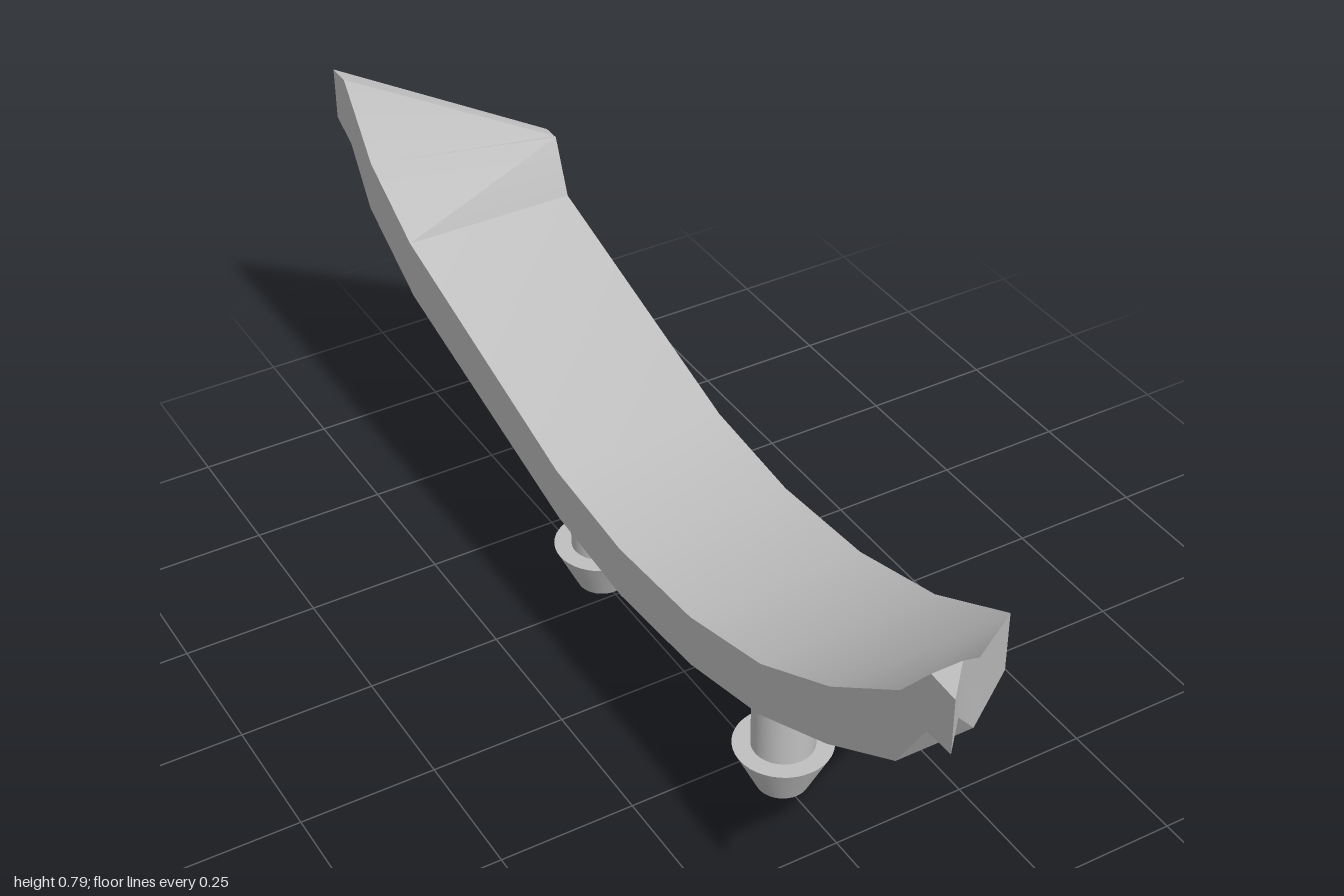
import * as THREE from 'three';
import { toCreasedNormals } from 'three/addons/utils/BufferGeometryUtils.js';

const grey = new THREE.MeshStandardMaterial({ color: 0xc0c0c0 });
grey.name = 'grey';

// One cross-section: right edge and left edge, each as [x, z, bottom y, top y, bottom z]
function section(r, l) {
  const low = (p) => [p[0], p[2], p[4] ?? p[1]];
  const high = (p) => [p[0], p[3], p[1]];
  return [low(r), low(l), high(l), high(r)];
}

// Curved strip, from its pointed front tip to its upturned back rim
function bandGeometry() {
  const X = 0.167, R = -0.16;
  const rings = [
    section([-0.17, 1, 0.69, 0.79], [-0.17, 1, 0.69, 0.79]),
    section([-0.168, 0.94, 0.685, 0.79], [-0.115, 0.94, 0.685, 0.79]),
    section([-0.166, 0.87, 0.57, 0.705], [-0.03, 0.87, 0.57, 0.705]),
    // full-width middle
    ...[[0.69, 0.455, 0.57], [0.5, 0.365, 0.47], [0.29, 0.31, 0.41], [0.06, 0.29, 0.39],
      [-0.16, 0.31, 0.41], [-0.71, 0.455, 0.57]].map((s) => section([R, ...s], [X, ...s])),
    // slanted back lip
    section([R, -0.86, 0.555, 0.66, -0.88], [X, -0.75, 0.56, 0.675]),
    section([R, -0.955, 0.66, 0.79, -0.945], [X, -0.755, 0.56, 0.675]),
    section([R, -1, 0.69, 0.79], [X, -0.785, 0.56, 0.675]),
  ];

  const pos = [];
  const tri = (...pts) => {
    const [a, b, c] = pts.map((p) => new THREE.Vector3(...p));
    if (b.sub(a).cross(c.sub(a)).length() > 1e-7) pos.push(...pts.flat());
  };
  const quad = (a, b, c, d) => { tri(a, b, c); tri(a, c, d); };

  for (let i = 0; i < rings.length - 1; i++) {
    const p = rings[i], q = rings[i + 1];
    for (let k = 0; k < 4; k++) {
      const n = (k + 1) % 4;
      // the underside folds along the same diagonal as the top
      if (k === 0) quad(p[k], q[k], q[n], p[n]);
      else quad(p[n], p[k], q[k], q[n]);
    }
  }
  const e = rings[rings.length - 1];
  quad(e[0], e[3], e[2], e[1]);

  const g = new THREE.BufferGeometry();
  g.setAttribute('position', new THREE.Float32BufferAttribute(pos, 3));
  return toCreasedNormals(g, 0.45);
}

// Push-in peg with a tapered barb
function makePeg(name, z) {
  const peg = new THREE.Group();
  peg.name = name;
  const shaft = new THREE.Mesh(new THREE.CylinderGeometry(0.056, 0.056, 0.3, 40), grey);
  shaft.name = 'shaft';
  shaft.position.y = 0.23;
  const barb = new THREE.Mesh(new THREE.CylinderGeometry(0.088, 0.047, 0.088, 40), grey);
  barb.name = 'barb';
  barb.position.y = 0.044;
  peg.add(shaft, barb);
  peg.position.set(0.003, 0, z);
  return peg;
}

export function createModel() {
  const model = new THREE.Group();
  model.name = 'curvedClip';
  const band = new THREE.Mesh(bandGeometry(), grey);
  band.name = 'band';
  model.add(band, makePeg('frontPeg', 0.325), makePeg('backPeg', -0.305));
  return model;
}
